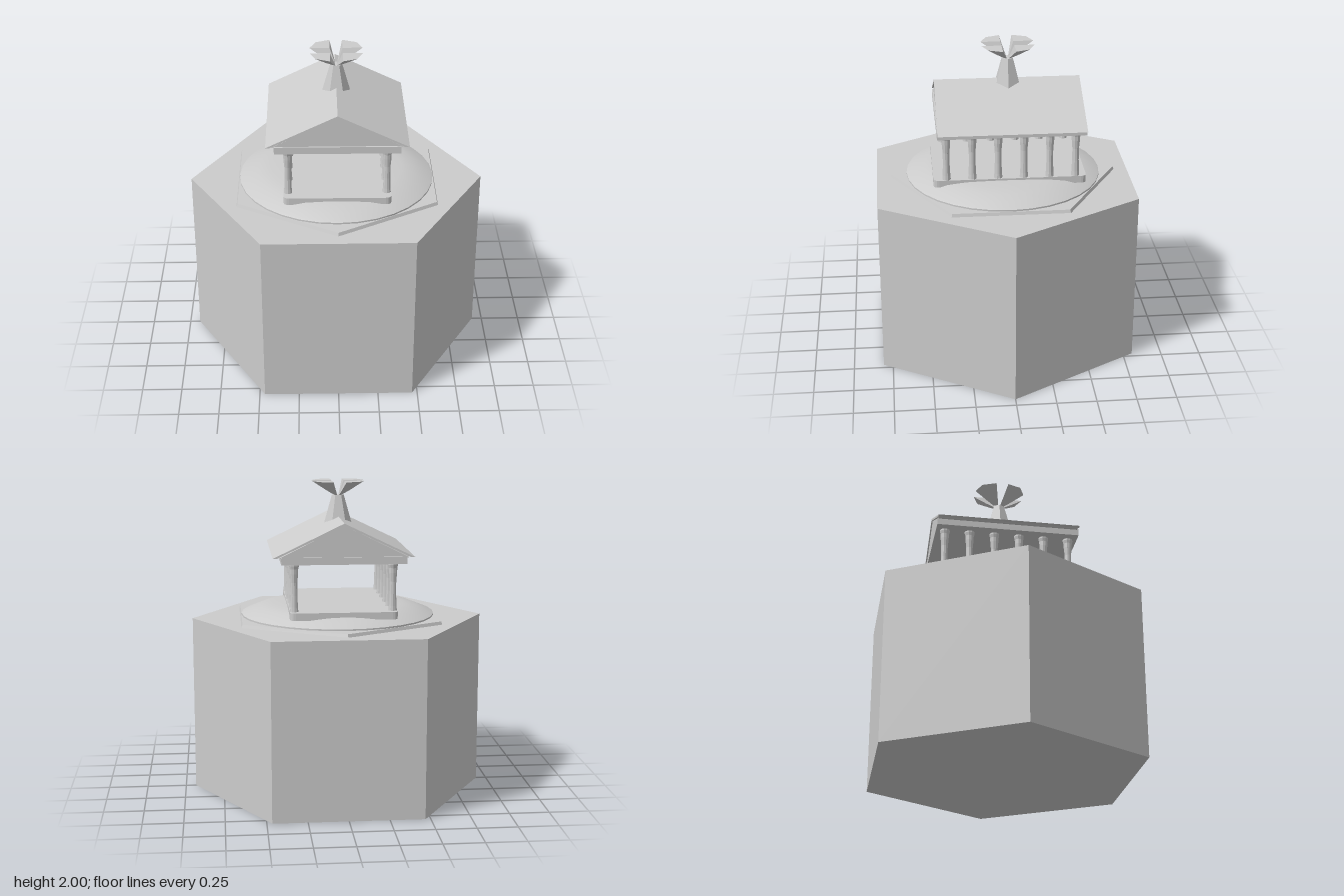
import * as THREE from 'three';
import { toCreasedNormals } from 'three/addons/utils/BufferGeometryUtils.js';

const flat = new THREE.MeshStandardMaterial({ color: 0xcccccc, flatShading: true, side: THREE.DoubleSide });
const smooth = new THREE.MeshStandardMaterial({ color: 0xcccccc, side: THREE.DoubleSide });
const CZ = -0.027; // the temple sits slightly behind the centre

function add(parent, name, geometry, material = flat) {
  const mesh = new THREE.Mesh(geometry, material);
  mesh.name = name;
  parent.add(mesh);
  return mesh;
}

const lathe = (points, sides) =>
  new THREE.LatheGeometry(points.map(([r, y]) => new THREE.Vector2(r, y)), sides);

// Extrude an x-y outline along z, centred on the temple
function prism(points, depth) {
  const shape = new THREE.Shape(points.map(([x, y]) => new THREE.Vector2(x, y)));
  return new THREE.ExtrudeGeometry(shape, { depth, bevelEnabled: false })
    .translate(0, 0, CZ - depth / 2);
}

// Rounded rectangular floor slab lying in x-z
function slabGeometry(w, d, h, r) {
  const s = new THREE.Shape(), x = w / 2, y = d / 2;
  s.moveTo(-x + r, -y).lineTo(x - r, -y).quadraticCurveTo(x, -y, x, -y + r);
  s.lineTo(x, y - r).quadraticCurveTo(x, y, x - r, y);
  s.lineTo(-x + r, y).quadraticCurveTo(-x, y, -x, y - r);
  s.lineTo(-x, -y + r).quadraticCurveTo(-x, -y, -x + r, -y);
  return new THREE.ExtrudeGeometry(s, { depth: h, bevelEnabled: false, curveSegments: 4 })
    .rotateX(-Math.PI / 2);
}

// Flaring petal: one quad outline scaled up through three levels
function petalGeometry() {
  const outline = [[0.04, 0.04], [0.04, 0.165], [0.127, 0.13], [0.165, 0.04]];
  const levels = [[0.05, 1.9], [0.5, 1.945], [1, 2]];
  const pos = [], index = [];
  for (const [s, y] of levels) for (const [x, z] of outline) pos.push(x * s, y, z * s);
  for (let l = 0; l < 2; l++) {
    for (let i = 0; i < 4; i++) {
      const a = l * 4 + i, b = l * 4 + (i + 1) % 4;
      index.push(a, b, b + 4, a, b + 4, a + 4);
    }
  }
  index.push(8, 9, 10, 8, 10, 11);
  const g = new THREE.BufferGeometry();
  g.setAttribute('position', new THREE.Float32BufferAttribute(pos, 3));
  g.setIndex(index);
  g.computeVertexNormals();
  return g;
}

export function createModel() {
  const model = new THREE.Group();
  model.name = 'templeOnPlinth';

  // Hexagonal base with corners on the x axis
  add(model, 'base', new THREE.CylinderGeometry(0.935, 0.935, 1.12, 6)
    .rotateY(Math.PI / 6).translate(0, 0.56, 0));

  // Thin hexagonal plate with corners on the z axis
  add(model, 'plate', new THREE.CylinderGeometry(0.718, 0.726, 0.02, 6).translate(0, 1.13, 0));

  // Low round mound
  add(model, 'mound', toCreasedNormals(lathe([
    [0.62, 1.135], [0.62, 1.15], [0.607, 1.157], [0.56, 1.176], [0.5, 1.2],
    [0.42, 1.214], [0.3, 1.22], [0, 1.222],
  ], 32), 0.5), smooth);

  // Temple floor
  const floor = add(model, 'floor', slabGeometry(0.665, 0.955, 0.046, 0.035));
  floor.position.set(0, 1.184, -0.02);

  // Two rows of six flared columns
  const columns = new THREE.Group();
  columns.name = 'columns';
  model.add(columns);
  const columnGeometry = lathe([
    [0.027, 1.225], [0.024, 1.26], [0.021, 1.33], [0.021, 1.41],
    [0.026, 1.465], [0.027, 1.495], [0.032, 1.515], [0.032, 1.53],
  ], 10);
  for (const side of [-1, 1]) {
    for (let i = 0; i < 6; i++) {
      add(columns, 'column', columnGeometry).position.set(side * 0.305, 0, 0.376 - i * 0.161);
    }
  }

  // Beam block, recessed gables and overhanging roof
  add(model, 'beam', new THREE.BoxGeometry(0.77, 0.045, 0.92).translate(0, 1.5475, CZ));
  add(model, 'pediment', prism([[-0.4, 1.565], [0.4, 1.565], [0, 1.762]], 0.9));
  add(model, 'roof', prism([
    [-0.437, 1.566], [-0.41, 1.566], [0, 1.762], [0.41, 1.566], [0.437, 1.566], [0, 1.776],
  ], 0.916));

  // Finial: six-sided tapered stem and four spreading petals
  const finial = new THREE.Group();
  finial.name = 'finial';
  finial.position.z = -0.03;
  model.add(finial);
  add(finial, 'stem', new THREE.CylinderGeometry(0.038, 0.094, 0.2, 6)
    .rotateY(Math.PI / 6).translate(0, 1.81, 0));
  const petal = petalGeometry();
  for (let i = 0; i < 4; i++) add(finial, 'petal', petal).rotation.y = i * Math.PI / 2;

  return model;
}
